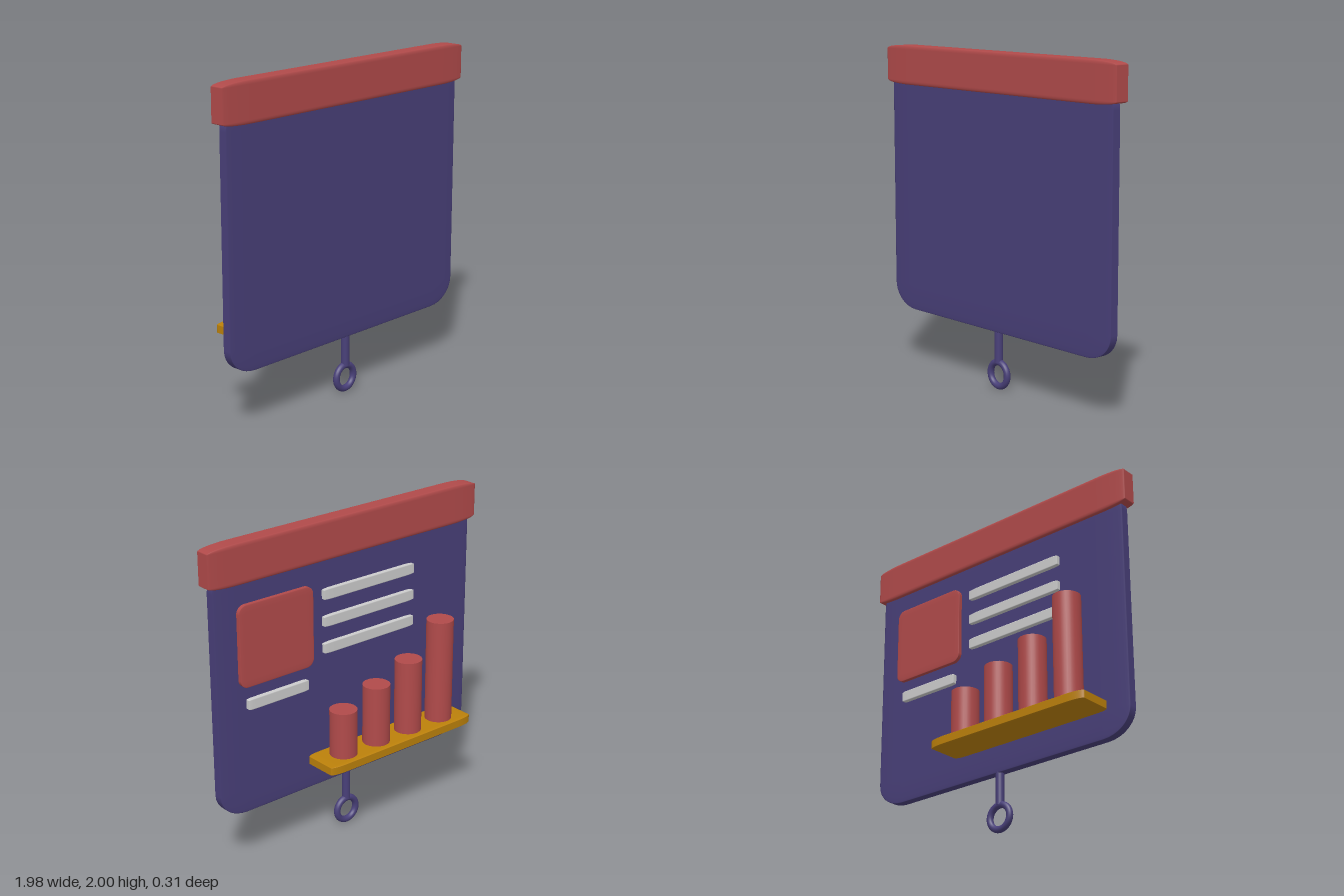
import * as THREE from 'three';
import { RoundedBoxGeometry } from 'three/addons/geometries/RoundedBoxGeometry.js';

const red = new THREE.MeshStandardMaterial({ color: 0xb04a4a });
const purple = new THREE.MeshStandardMaterial({ color: 0x483f78 });
const gold = new THREE.MeshStandardMaterial({ color: 0xbb800a });
const grey = new THREE.MeshStandardMaterial({ color: 0xcccccc });

export function createModel() {
  const model = new THREE.Group();
  model.name = 'presentationScreen';

  const add = (name, geometry, material, x, y, z) => {
    const mesh = new THREE.Mesh(geometry, material);
    mesh.name = name;
    mesh.position.set(x, y, z);
    model.add(mesh);
  };

  // Bevelled unit cube stretched between two corners, so the bevel stretches too
  const slab = (name, material, [x0, x1], [y0, y1], [z0, z1]) => {
    const geometry = new RoundedBoxGeometry(1, 1, 1, 5, 0.1);
    geometry.scale(x1 - x0, y1 - y0, z1 - z0);
    add(name, geometry, material, (x0 + x1) / 2, (y0 + y1) / 2, (z0 + z1) / 2);
  };

  // Screen and its roller housing
  slab('screen', purple, [-0.95, 0.95], [0.36, 1.89], [0.075, 0.135]);
  slab('topHousing', red, [-0.988, 0.988], [1.762, 2], [0.053, 0.155]);

  // Pull cord and ring
  add('pullCord', new THREE.CylinderGeometry(0.025, 0.025, 0.23, 24), purple, 0, 0.285, 0.104);
  add('pullRing', new THREE.TorusGeometry(0.073, 0.02, 16, 48), purple, 0, 0.098, 0.102);

  // Picture panel with its caption, and three lines of text bars
  slab('picturePanel', red, [0.28, 0.8], [1.15, 1.64], [0.049, 0.085]);
  slab('captionBar', grey, [0.32, 0.75], [1.007, 1.073], [0.049, 0.085]);
  for (const y of [1.56, 1.395, 1.23]) {
    slab('textBar', grey, [-0.49, 0.2], [y - 0.033, y + 0.033], [0.05, 0.085]);
  }

  // Shelf carrying the column chart
  slab('chartShelf', gold, [-0.803, 0.317], [0.52, 0.577], [-0.155, 0.085]);
  [1.23, 1.04, 0.95, 0.865].forEach((top, i) => {
    const height = top - 0.56;
    add('chartColumn', new THREE.CylinderGeometry(0.083, 0.083, height, 32), red,
      -0.625 + i * 0.255, 0.56 + height / 2, -0.04);
  });

  return model;
}
